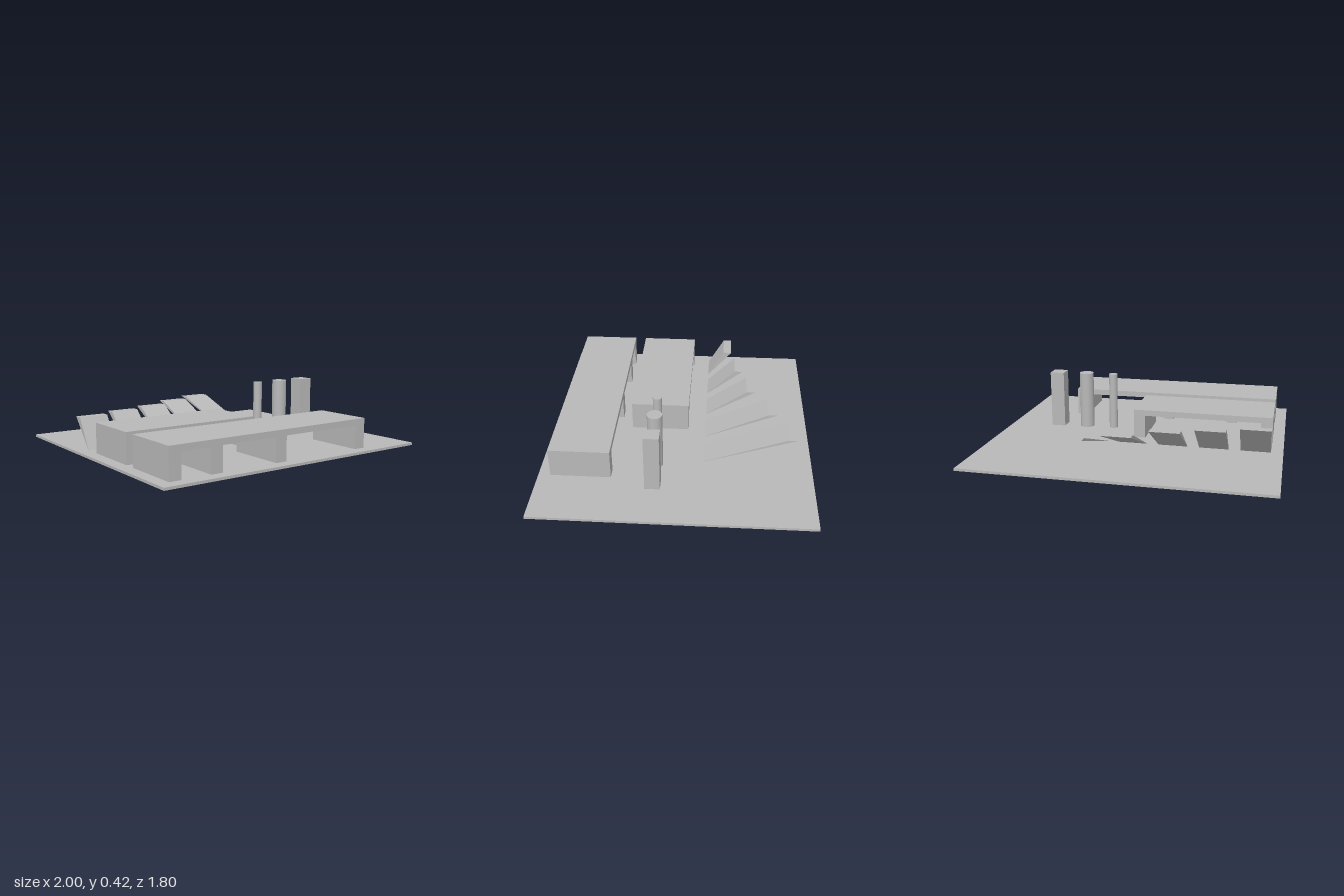
import * as THREE from 'three';

const BASE = 0.017;   // thickness of the base plate
const TOP = 0.218;    // top of the bridges and ramps

export function createModel() {
  const model = new THREE.Group();
  model.name = 'printTestPlate';
  const grey = new THREE.MeshStandardMaterial({ color: 0xb8b8b8 });
  grey.name = 'plain grey';

  const add = (name, geometry, x = 0, y = 0, z = 0) => {
    const mesh = new THREE.Mesh(geometry, grey);
    mesh.name = name;
    mesh.position.set(x, y, z);
    model.add(mesh);
    return mesh;
  };
  const shapeOf = (points) => new THREE.Shape(points.map(([x, y]) => new THREE.Vector2(x, y)));
  const extrude = (points, depth) =>
    new THREE.ExtrudeGeometry(shapeOf(points), { depth, bevelEnabled: false });

  // Base plate
  add('basePlate', new THREE.BoxGeometry(2, BASE, 1.8), 0, BASE / 2, 0);

  // Bridges: one comb-shaped outline with an opening for each span
  const addBridge = (name, spans, z) => {
    const leg = 0.08, under = 0.178;
    const outline = [];
    let x = -0.92;
    outline.push([x, BASE]);
    for (const span of spans) {
      x += leg;
      outline.push([x, BASE], [x, under], [x + span, under], [x + span, BASE]);
      x += span;
    }
    x += leg;
    outline.push([x, BASE], [x, TOP], [-0.92, TOP]);
    add(name, extrude(outline, 0.4), 0, 0, z);
  };
  addBridge('frontBridge', [0.2, 0.4, 0.6], 0.42);
  addBridge('middleBridge', [0.8], -0.06);

  // Overhang ramps: thin wedges leaning back at growing angles
  [30, 45, 55, 65, 70].forEach((angle, i) => {
    const rise = TOP - BASE;
    const reach = rise * Math.tan(THREE.MathUtils.degToRad(angle));
    const foot = 0.18;
    const wedge = extrude([
      [foot, BASE], [foot + 0.004, BASE], [foot + reach + 0.06, TOP], [foot + reach, TOP],
    ], 0.2);
    wedge.rotateY(Math.PI / 2); // outline now runs toward -z, width toward +x
    add('overhangRamp' + (i + 1), wedge, -0.92 + i * 0.28, 0, 0);
  });

  // Standing columns
  const height = 0.418 - BASE, mid = BASE + height / 2;
  add('thinColumn', new THREE.CylinderGeometry(0.03, 0.03, height, 48), 0.24, mid, 0.14);
  add('thickColumn', new THREE.CylinderGeometry(0.05, 0.05, height, 48), 0.44, mid, 0.14);
  add('squareColumn', new THREE.BoxGeometry(0.1, height, 0.1), 0.65, mid, 0.14);

  return model;
}
